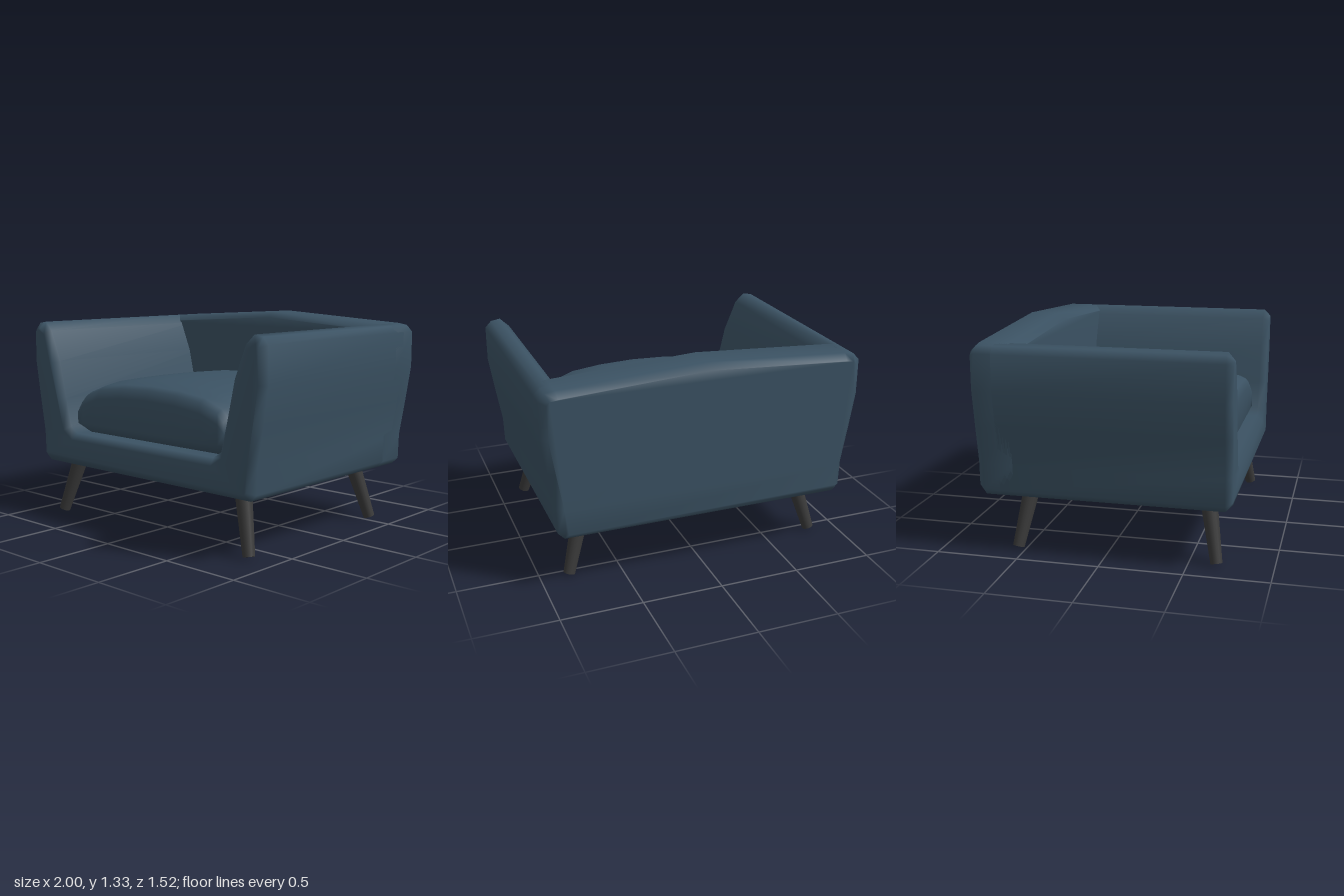
import * as THREE from 'three';
import { mergeVertices } from 'three/addons/utils/BufferGeometryUtils.js';

const BEVEL = 0.04;

// Right half of the outer shell, from the bottom up to the arm top
const OUTER = [[0.88, 0.35], [0.92, 0.39], [0.925, 0.55], [0.965, 0.78], [1, 1], [1, 1.22], [0.96, 1.262], [0.9, 1.272]];
// Inside of the arm, from the top down to the seat
const INNER = [[0.84, 1.215], [0.76, 1.02], [0.705, 0.78], [0.66, 0.6], [0.6, 0.56]];

// Share vertices so the normals blend softly
function smooth(geometry) {
  geometry.deleteAttribute('normal');
  geometry.deleteAttribute('uv');
  const merged = mergeVertices(geometry, 1e-4);
  merged.computeVertexNormals();
  return merged;
}

// Mirror a half profile in x and extrude it between two depths with chamfered ends
function extrudeProfile(half, z0, z1) {
  const mirrored = half.filter(([x]) => x > 0).map(([x, y]) => [-x, y]).reverse();
  const shape = new THREE.Shape([...half, ...mirrored].map(([x, y]) => new THREE.Vector2(x, y)));
  const geometry = new THREE.ExtrudeGeometry(shape, {
    depth: z1 - z0 - 2 * BEVEL,
    bevelThickness: BEVEL, bevelSize: BEVEL, bevelOffset: -BEVEL, bevelSegments: 1,
  });
  geometry.translate(0, 0, z0 + BEVEL);
  return smooth(geometry);
}

// Domed cushion: a box whose vertices are crowded to the rims and crowned on top
function cushionGeometry() {
  const geometry = new THREE.BoxGeometry(2, 2, 2, 8, 3, 8);
  const p = geometry.attributes.position;
  const insets = [0.06, 0, 0, 0.02];
  for (let i = 0; i < p.count; i++) {
    const u = Math.sin(p.getX(i) * Math.PI / 2);
    const w = Math.sin(p.getZ(i) * Math.PI / 2);
    const level = Math.round((p.getY(i) + 1) * 1.5);
    const top = 0.935 - 0.06 * u * u - 0.07 * u ** 10 - 0.015 * w * w - 0.035 * w ** 10;
    const y = [0.56, 0.62, top - 0.06, top][level];
    const inset = insets[level];
    p.setXYZ(i, u * (0.64 - inset), y, 0.095 + w * (0.585 - inset));
  }
  return smooth(geometry);
}

// Tapered leg between two points
function makeLeg(top, foot, material) {
  const axis = top.clone().sub(foot);
  const leg = new THREE.Mesh(new THREE.CylinderGeometry(0.052, 0.036, axis.length(), 16), material);
  leg.position.copy(top).add(foot).multiplyScalar(0.5);
  leg.quaternion.setFromUnitVectors(new THREE.Vector3(0, 1, 0), axis.normalize());
  return leg;
}

export function createModel() {
  const group = new THREE.Group();
  const fabric = new THREE.MeshStandardMaterial({ color: 0x3b5263 });
  const wood = new THREE.MeshStandardMaterial({ color: 0x3a3a3a });

  const add = (name, geometry) => {
    const mesh = new THREE.Mesh(geometry, fabric);
    mesh.name = name;
    group.add(mesh);
  };

  // Base and both arms in one U-shaped section
  add('baseAndArms', extrudeProfile([...OUTER, ...INNER], -0.66, 0.76));
  // Backrest closes the section and rises to a low peak
  add('backrest', extrudeProfile([...OUTER, [0, 1.325]], -0.76, -0.495));
  add('seatCushion', cushionGeometry());

  // Splayed legs
  for (const side of [1, -1]) {
    const sideName = side > 0 ? 'Left' : 'Right';
    for (const [row, zTop, zFoot] of [['front', 0.595, 0.665], ['back', -0.485, -0.55]]) {
      const leg = makeLeg(
        new THREE.Vector3(side * 0.715, 0.38, zTop),
        new THREE.Vector3(side * 0.82, 0.01, zFoot),
        wood,
      );
      leg.name = `${row}${sideName}Leg`;
      group.add(leg);
    }
  }
  return group;
}
